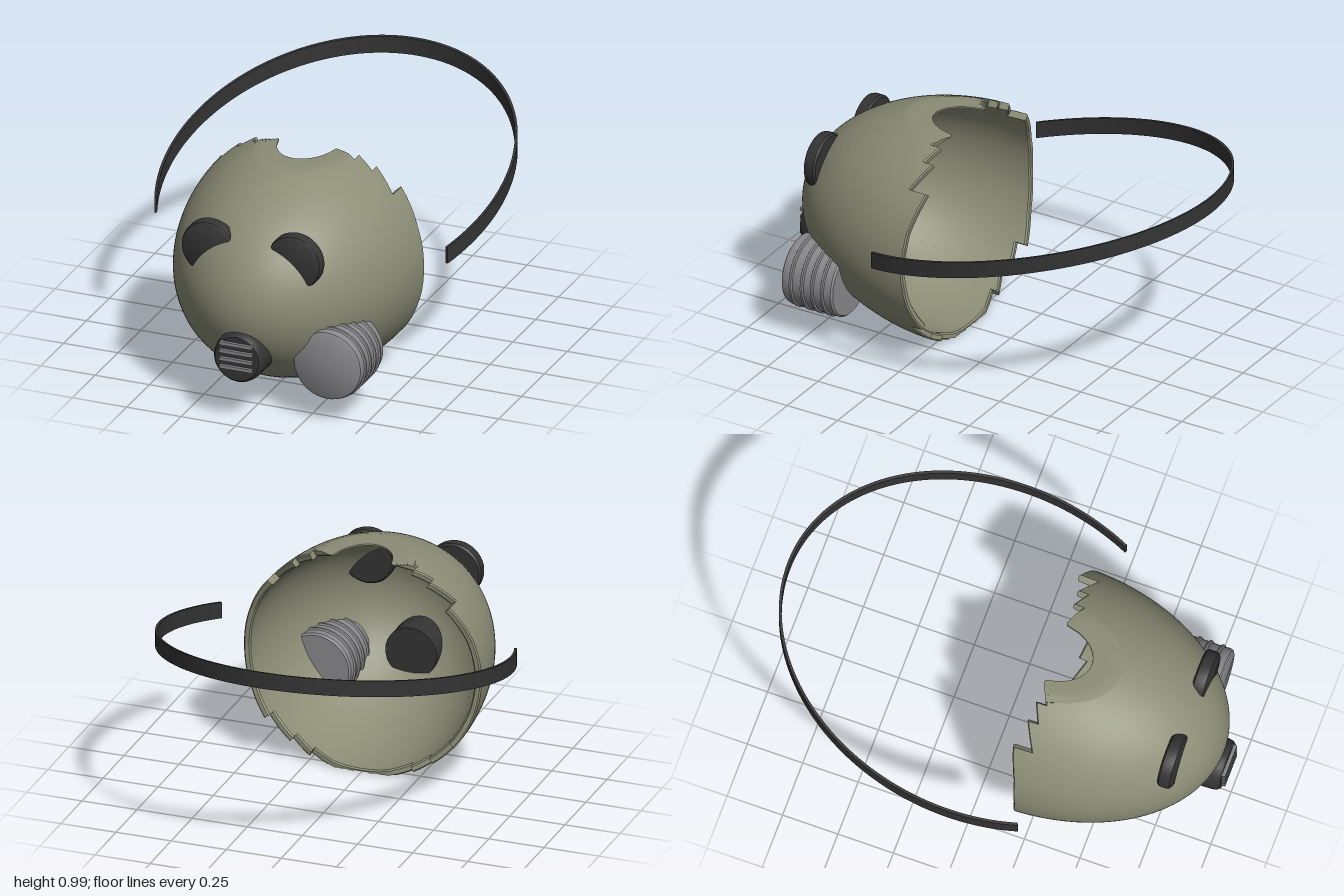
import * as THREE from 'three';
import { toCreasedNormals, mergeGeometries } from 'three/addons/utils/BufferGeometryUtils.js';

const olive = new THREE.MeshStandardMaterial({ name: 'olive shell', color: 0x8b8d76 });
const black = new THREE.MeshStandardMaterial({ name: 'black rubber', color: 0x343434 });
const grey = new THREE.MeshStandardMaterial({ name: 'grey metal', color: 0x88888b });

const DEG = Math.PI / 180;
const CENTER = new THREE.Vector3(0, 0.505, 0.17);
const RADII = [0.54, 0.522, 0.8];
const WALL = 0.031;
const TOP = 0.48, BOTTOM = 0.505; // flat cuts, measured from the centre

// Jagged back rim per quadrant: [angle from, angle to, z from, z to]
const UPPER = [[20, 40, 0.203, 0.165], [40, 54.5, 0.25, 0.195], [54.5, 64, 0.24, 0.205], [64, 78, 0.25, 0.19], [78, 90, 0.19, 0.19]];
const LOWER = [[20, 37, 0.203, 0.175], [37, 53, 0.225, 0.2], [53, 64, 0.235, 0.2], [64, 76, 0.23, 0.2], [76, 90, 0.2, 0.2]];

function quadrant(teeth) {
  const cols = [];
  for (const [a0, a1, z0, z1] of [[0, 20, 0.215, 0.203], ...teeth]) {
    const n = Math.ceil((a1 - a0) / 1.5);
    for (let i = 0; i <= n; i++) cols.push([a0 + (a1 - a0) * i / n, z0 + (z1 - z0) * i / n]);
  }
  return cols;
}

function rimColumns() {
  const up = quadrant(UPPER), low = quadrant(LOWER);
  return [
    ...up,
    ...[...up].reverse().map(([d, z]) => [180 - d, z]),
    ...low.map(([d, z]) => [180 + d, z]),
    ...[...low].reverse().map(([d, z]) => [360 - d, z]),
  ];
}

// Point on the ellipsoid layer at depth t (0 outside, 1 inside), s from nose tip to rim
function shellPoint([deg, rimZ], t, s, inset) {
  const [a, b, c] = RADII.map(r => r - WALL * t);
  const phi = deg * DEG, sin = Math.sin(phi);
  let theta = Math.acos((rimZ + inset - CENTER.z) / c);
  const cut = ((sin > 0 ? TOP : BOTTOM) - inset) / (b * Math.abs(sin) + 1e-9);
  if (cut < 1) theta = Math.min(theta, Math.asin(cut));
  theta *= s;
  const p = new THREE.Vector3(a * Math.sin(theta) * Math.cos(phi), b * Math.sin(theta) * sin, c * Math.cos(theta));
  const normal = new THREE.Vector3(p.x / a / a, p.y / b / b, p.z / c / c).normalize();
  if (t > 0.5) normal.negate();
  return { p: p.add(CENTER), normal };
}

function grid(cols, rows, at) {
  const pos = [], nor = [];
  for (let i = 0; i < cols - 1; i++) {
    for (let j = 0; j < rows - 1; j++) {
      const q = [at(i, j), at(i, j + 1), at(i + 1, j + 1), at(i + 1, j)];
      for (const k of [0, 1, 2, 0, 2, 3]) {
        pos.push(...q[k].p.toArray());
        nor.push(...q[k].normal.toArray());
      }
    }
  }
  const g = new THREE.BufferGeometry();
  g.setAttribute('position', new THREE.Float32BufferAttribute(pos, 3));
  g.setAttribute('normal', new THREE.Float32BufferAttribute(nor, 3));
  return g;
}

function shellGeometry() {
  const cols = rimColumns(), rows = 33, bevel = 0.006;
  const layers = [0, 0.2, 0.35, 0.5, 0.65, 0.8, 1];
  const outer = grid(cols.length, rows, (i, j) => shellPoint(cols[i], 0, j / (rows - 1), bevel));
  const inner = grid(cols.length, rows, (i, j) => shellPoint(cols[i], 1, 1 - j / (rows - 1), bevel));
  const rim = grid(cols.length, layers.length, (i, j) =>
    shellPoint(cols[i], layers[j], 1, j === 0 || j === layers.length - 1 ? bevel : 0));
  rim.computeVertexNormals();
  return mergeGeometries([outer, toCreasedNormals(rim, 0.6), inner]);
}

// Round part turned about the z axis, from [radius, z] points running back to front
function turned(profile) {
  const g = new THREE.LatheGeometry(profile.map(([r, z]) => new THREE.Vector2(r, z)), 48);
  g.rotateX(Math.PI / 2);
  return toCreasedNormals(g, 0.6);
}

function canisterGeometry() {
  const profile = [[0, 0.58], [0.148, 0.58], [0.156, 0.588]];
  for (const z of [0.63, 0.68, 0.73, 0.785]) {
    profile.push([0.156, z - 0.009], [0.163, z - 0.005], [0.163, z + 0.005], [0.156, z + 0.009]);
  }
  profile.push([0.158, 0.815], [0.153, 0.829], [0.143, 0.835], [0, 0.835]);
  return turned(profile);
}

function strapGeometry() {
  const end = 0.441, s = new THREE.Shape();
  s.absellipse(0, -0.1, 0.745, 0.9, end, -Math.PI - end, true);
  s.absellipse(0, -0.1, 0.733, 0.888, -Math.PI - end, end, false);
  const g = new THREE.ExtrudeGeometry(s, { depth: 0.075, bevelEnabled: false, curveSegments: 64 });
  g.rotateX(Math.PI / 2);
  // The band climbs steadily toward the back
  const p = g.attributes.position;
  for (let i = 0; i < p.count; i++) p.setY(i, p.getY(i) + 0.72 - 0.25 * p.getZ(i));
  g.computeVertexNormals();
  return toCreasedNormals(g, 0.6);
}

export function createModel() {
  const model = new THREE.Group();
  model.name = 'mask';
  const add = (name, geometry, material, x = 0, y = 0, z = 0) => {
    const mesh = new THREE.Mesh(geometry, material);
    mesh.name = name;
    mesh.position.set(x, y, z);
    model.add(mesh);
  };

  add('shell', shellGeometry(), olive);
  add('strap', strapGeometry(), black);

  // Eye lenses, half sunk in the shell
  const lens = turned([[0, 0.78], [0.115, 0.78], [0.123, 0.788], [0.123, 0.822], [0.119, 0.834], [0.109, 0.84], [0, 0.84]]);
  add('leftEye', lens, black, 0.197, 0.723);
  add('rightEye', lens, black, -0.197, 0.723);

  // Mouth vent with its slats
  add('mouthVent', turned([[0, 0.79], [0.116, 0.79], [0.114, 0.95], [0.11, 0.972], [0.1, 0.985], [0, 0.985]]), black, 0, 0.305);
  for (let i = 0; i < 4; i++) {
    add('ventSlat', new THREE.BoxGeometry(0.15, 0.015, 0.03), grey, 0, 0.265 + i * 0.036, 0.985);
  }

  // Filter canister on the left cheek
  add('filterCanister', canisterGeometry(), grey, 0.35, 0.27);
  return model;
}
